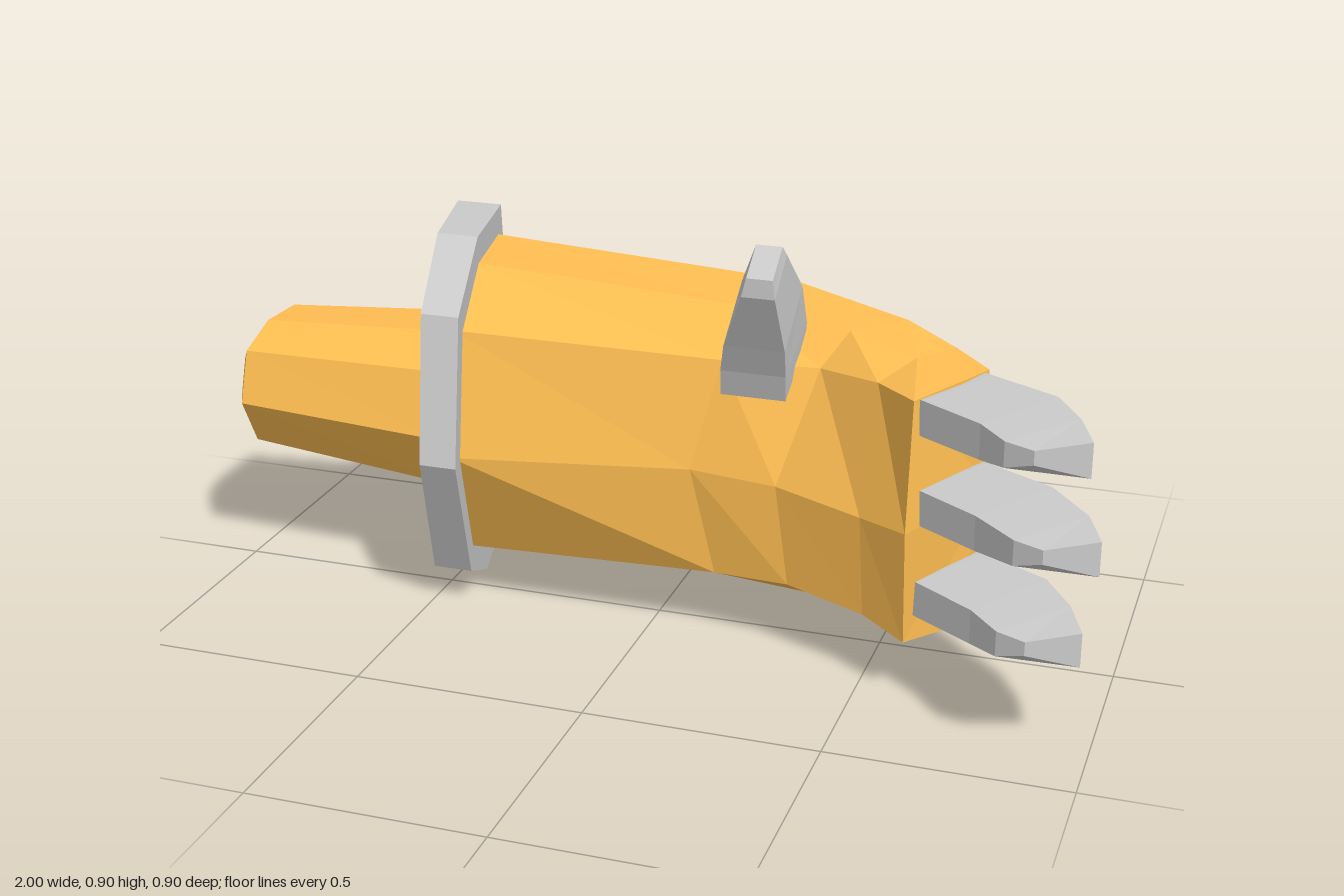
import * as THREE from 'three';

const orange = new THREE.MeshStandardMaterial({ color: 0xffbe52, flatShading: true });
const grey = new THREE.MeshStandardMaterial({ color: 0xcccccc, flatShading: true });

// Skin a closed solid over a list of rings with equal point counts
function loft(name, rings, material) {
  const n = rings[0].length;
  const index = [];
  for (let r = 0; r < rings.length - 1; r++) {
    for (let i = 0; i < n; i++) {
      const j = (i + 1) % n, a = r * n, b = a + n;
      index.push(a + i, a + j, b + j, a + i, b + j, b + i);
    }
  }
  const last = (rings.length - 1) * n;
  for (let i = 1; i < n - 1; i++) {
    index.push(0, i + 1, i, last, last + i, last + i + 1);
  }
  const geometry = new THREE.BufferGeometry();
  geometry.setAttribute('position', new THREE.Float32BufferAttribute(rings.flat(2), 3));
  geometry.setIndex(index);
  const flat = geometry.toNonIndexed();
  flat.computeVertexNormals();
  const mesh = new THREE.Mesh(flat, material);
  mesh.name = name;
  return mesh;
}

// Irregular octagon shared by stub, cuff and forearm: [z, y] around its centre,
// from the back, over the top, to the front and underneath
const OCTAGON = [
  [-0.355, 0], [-0.28, 0.385], [0.01, 0.395], [0.25, 0.29],
  [0.335, -0.02], [0.2, -0.32], [0.02, -0.4], [-0.27, -0.37],
];
const CZ = -0.1, CY = 0.4;

// Octagon ring on the plane x = x0 + slope * z
function ring(x0, slope, sz, sy = sz, cz = CZ, cy = CY) {
  return OCTAGON.map(([z, y]) => {
    const pz = cz + z * sz;
    return [x0 + slope * pz, cy + y * sy, pz];
  });
}

// Finger: tapering box sections following a bent path
function finger(name, y, reach) {
  const outer = [[0.69, 0.03], [0.72, 0.055], [0.87, 0.16], [0.96, 0.28], [1.0, 0.39]];
  const inner = [[0.59, 0.2], [0.62, 0.225], [0.75, 0.33], [0.84, 0.42], [0.9, 0.445]];
  const low = [-0.06, -0.06, -0.05, -0.03, -0.008];
  const high = [0.055, 0.058, 0.066, 0.066, 0.064];
  const rings = outer.map(([ox, oz], i) => {
    const [ix, iz] = inner[i];
    const d = i > 2 ? reach : 0;
    return [
      [ox - d, y + low[i], oz - d / 2], [ox - d, y + high[i], oz - d / 2],
      [ix - d, y + high[i] - 0.008, iz - d / 2], [ix - d, y + low[i] + 0.035, iz - d / 2],
    ];
  });
  return loft(name, rings, grey);
}

export function createModel() {
  const model = new THREE.Group();
  model.name = 'mechanicalForearm';

  // Connecting stub with a bevelled end
  model.add(loft('stub', [
    ring(-1.0, 0, 0.275, 0.23, -0.08, 0.41),
    ring(-0.97, 0, 0.45, 0.365, -0.08, 0.408),
    ring(-0.49, 0.22, 0.56, 0.455, -0.098, 0.388),
  ], orange));

  // Tilted cuff plate
  model.add(loft('cuff', [ring(-0.522, 0.26, 1), ring(-0.43, 0.22, 1)], grey));

  // Forearm bending forward into the palm
  model.add(loft('forearmAndPalm', [
    ring(-0.45, 0.22, 0.85),
    [[0.23, 0.4, -0.375], [0.21, 0.695, -0.31], [0.145, 0.69, -0.12], [0.15, 0.62, 0.04],
      [0.1, 0.39, 0.1], [0.15, 0.15, 0.08], [0.17, 0.1, -0.1], [0.22, 0.12, -0.285]],
    [[0.56, 0.4, -0.21], [0.5, 0.68, -0.165], [0.4, 0.68, -0.06], [0.355, 0.615, 0.01],
      [0.29, 0.38, 0.11], [0.32, 0.16, 0.11], [0.4, 0.09, 0], [0.5, 0.08, -0.145]],
    [[0.68, 0.37, -0.1], [0.62, 0.66, -0.08], [0.56, 0.665, 0.02], [0.5, 0.635, 0.11],
      [0.49, 0.37, 0.19], [0.5, 0.15, 0.18], [0.53, 0.1, 0.04], [0.62, 0.11, -0.1]],
    [[0.73, 0.4, 0.02], [0.71, 0.66, 0.03], [0.67, 0.66, 0.12], [0.6, 0.65, 0.23],
      [0.6, 0.38, 0.265], [0.6, 0.13, 0.24], [0.66, 0.12, 0.14], [0.71, 0.135, 0.03]],
  ], orange));

  // Three fingers
  model.add(finger('lowerFinger', 0.21, 0.025));
  model.add(finger('middleFinger', 0.41, 0));
  model.add(finger('upperFinger', 0.6, 0.03));

  // Thumb: sections given as [xLeft, xRight, backZ, backY, frontZ, frontY]
  const thumb = [
    [0.16, 0.3, -0.08, 0.64, 0.08, 0.56],
    [0.165, 0.305, -0.06, 0.69, 0.1, 0.62],
    [0.18, 0.31, 0.0, 0.785, 0.13, 0.685],
    [0.235, 0.305, 0.11, 0.885, 0.195, 0.815],
    [0.245, 0.3, 0.125, 0.905, 0.195, 0.855],
  ].map(([x0, x1, bz, by, fz, fy]) => [[x1, by, bz], [x0, by, bz], [x0, fy, fz], [x1, fy, fz]]);
  model.add(loft('thumb', thumb, grey));

  return model;
}
